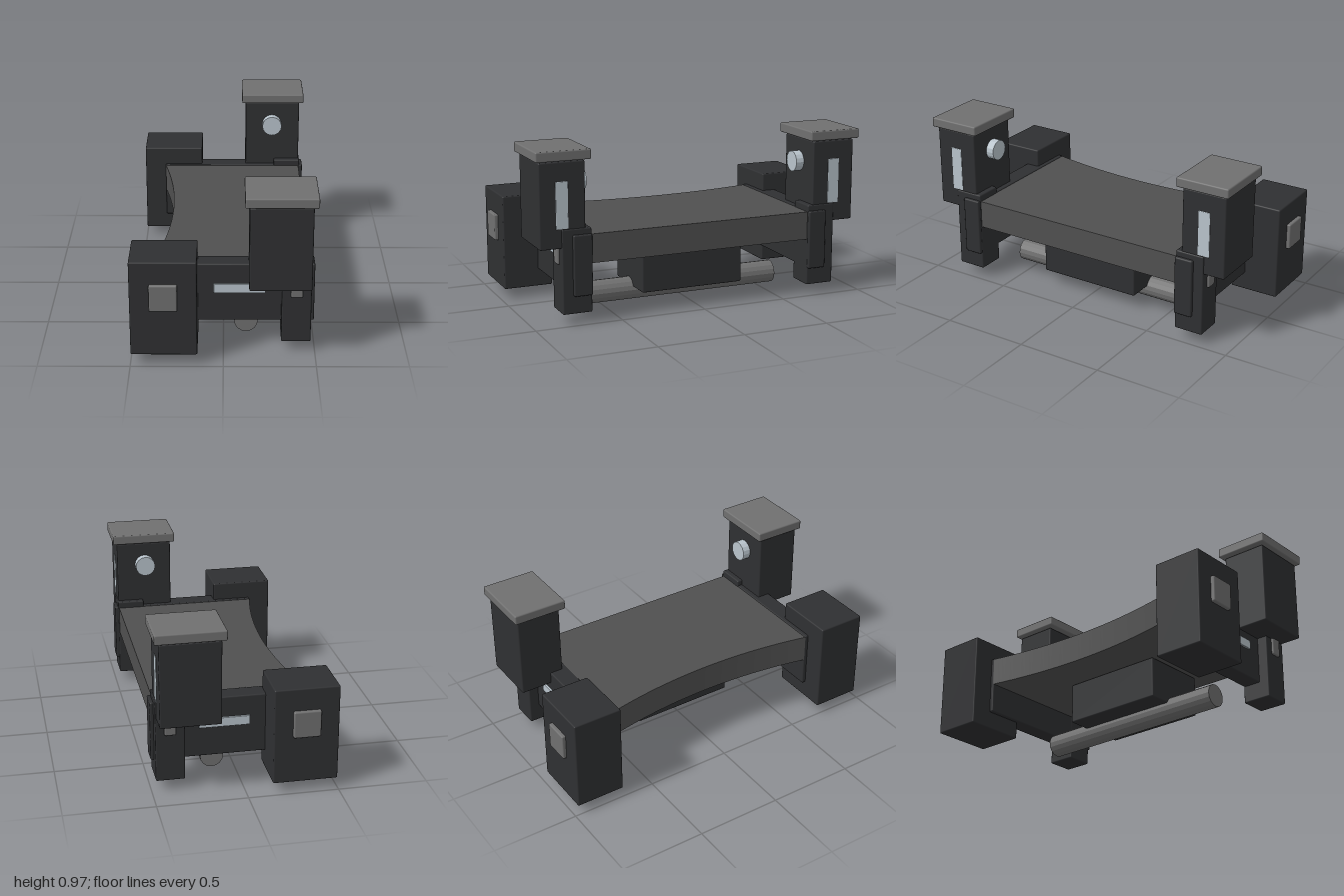
import * as THREE from 'three';
import { RoundedBoxGeometry } from 'three/addons/geometries/RoundedBoxGeometry.js';

const material = (color, flatShading = false) => new THREE.MeshStandardMaterial({ color, flatShading });
const dark = material(0x2f3032);
const deckGrey = material(0x505050);
const grey = material(0x707070);
const facetedGrey = material(0x707070, true);
const pale = material(0xb9c4cc);
const facetedPale = material(0xb9c4cc, true);

// Softly bevelled box given by its extents on each axis
function block(name, mat, [x0, x1], [y0, y1], [z0, z1], bevel = 0.008) {
  const size = [x1 - x0, y1 - y0, z1 - z0];
  const radius = Math.min(bevel, Math.min(...size) * 0.3);
  const mesh = new THREE.Mesh(new RoundedBoxGeometry(...size, 2, radius), mat);
  mesh.position.set((x0 + x1) / 2, (y0 + y1) / 2, (z0 + z1) / 2);
  mesh.name = name;
  return mesh;
}

// Cylinder lying along z
function rod(name, mat, radius, length, sides, x, y, z) {
  const mesh = new THREE.Mesh(new THREE.CylinderGeometry(radius, radius, length, sides).rotateX(Math.PI / 2), mat);
  mesh.position.set(x, y, z);
  mesh.name = name;
  return mesh;
}

// Flat deck with a shallow concave edge on the -x side
function createDeck() {
  const half = 0.67, right = 0.47, end = -0.37, sag = 0.075;
  const radius = (half * half + sag * sag) / (2 * sag);
  const angle = Math.asin(half / radius);
  const shape = new THREE.Shape();
  shape.moveTo(end, -half);
  shape.lineTo(right, -half);
  shape.lineTo(right, half);
  shape.lineTo(end, half);
  shape.absarc(end + sag - radius, 0, radius, angle, -angle, true);
  const geometry = new THREE.ExtrudeGeometry(shape, { depth: 0.163, bevelEnabled: false, curveSegments: 24 });
  geometry.rotateX(-Math.PI / 2).translate(0, 0.335, 0);
  const deck = new THREE.Mesh(geometry, deckGrey);
  deck.name = 'deck';
  return deck;
}

// One end assembly; side is +1 for the front, -1 for the back
function createEnd(side) {
  const end = new THREE.Group();
  end.name = side > 0 ? 'frontEnd' : 'backEnd';
  const span = (a, b) => (side > 0 ? [a, b] : [-b, -a]);
  end.add(
    block('sideBeam', dark, [-0.37, 0.495], [0.162, 0.503], span(0.667, 0.775)),
    block('largePod', dark, [-0.498, -0.139], [0.06, 0.608], span(0.69, 0.978)),
    block('podPlate', grey, [-0.393, -0.243], [0.33, 0.482], span(0.96, 1)),
    block('leg', dark, [0.315, 0.476], [0.062, 0.537], span(0.665, 0.835)),
    block('legPlate', grey, [0.364, 0.428], [0.335, 0.48], span(0.82, 0.848)),
    block('tower', dark, [0.137, 0.47], [0.432, 0.907], span(0.697, 0.958)),
    block('towerCap', grey, [0.113, 0.495], [0.914, 0.97], span(0.668, 0.98)),
    block('towerPanel', pale, [0.455, 0.472], [0.54, 0.8], span(0.795, 0.865), 0.002),
    block('lightStrip', pale, [-0.053, 0.229], [0.332, 0.386], span(0.76, 0.785), 0.004),
    rod('towerKnob', facetedPale, 0.06, 0.07, 16, 0.3, 0.77, side * 0.683)
  );
  return end;
}

export function createModel() {
  const model = new THREE.Group();
  model.name = 'model';
  model.add(
    createDeck(),
    block('undersideBox', dark, [-0.066, 0.33], [0.086, 0.325], [-0.31, 0.31]),
    rod('lowerRoller', facetedGrey, 0.066, 1.21, 16, 0.126, 0.067, 0),
    createEnd(1),
    createEnd(-1)
  );
  return model;
}
